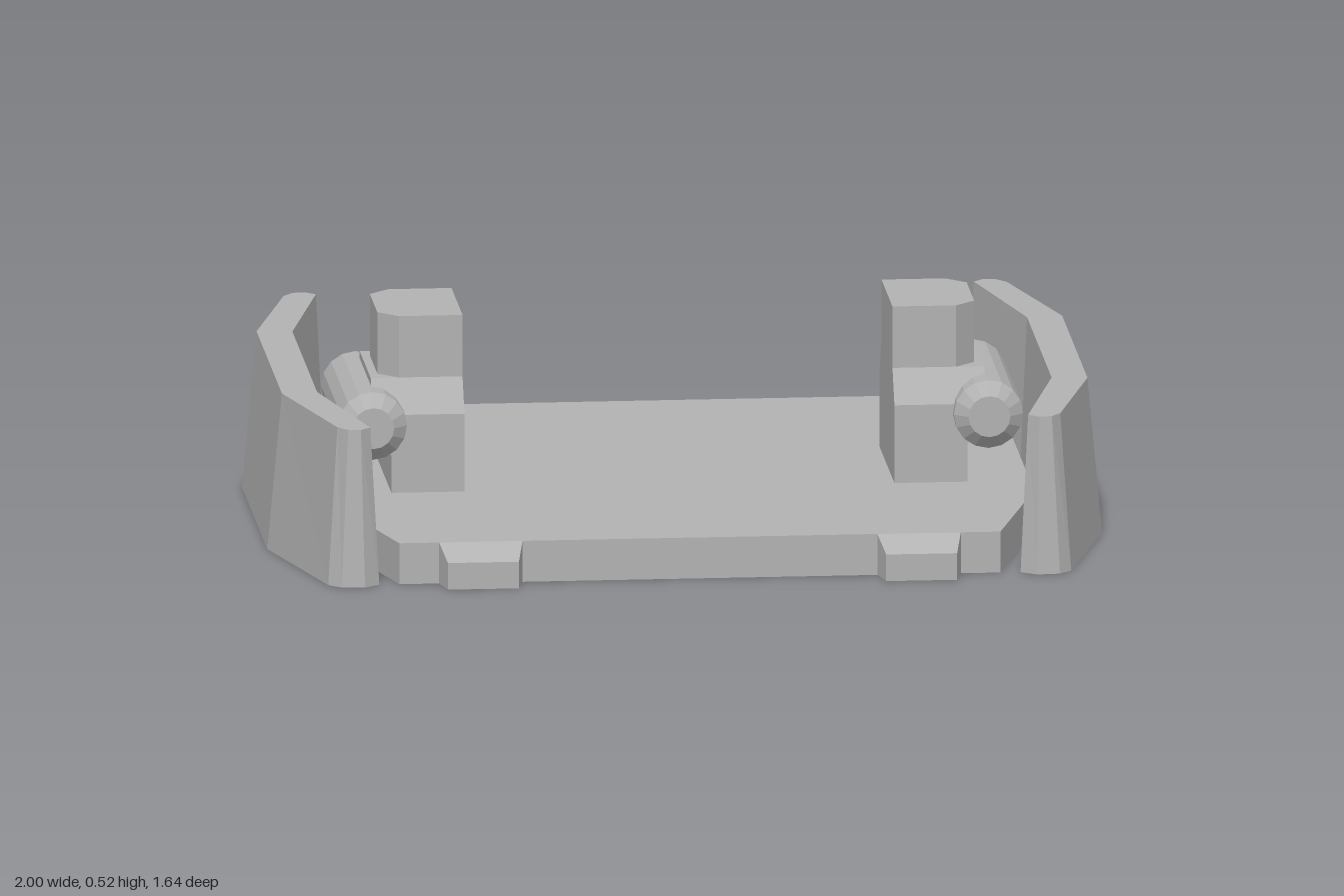
import * as THREE from 'three';

const grey = new THREE.MeshStandardMaterial({ color: 0xb2b2b2 });
grey.name = 'plain grey';

// Closed faceted solid through layers of [height, ring of [x, z]].
function loft(layers) {
  const rings = layers.map(([y, ring]) => {
    const pts = ring.map(([x, z]) => new THREE.Vector2(x, z));
    if (THREE.ShapeUtils.area(pts) < 0) pts.reverse();
    return { y, pts };
  });
  const pos = [];
  const put = (ring, i) => pos.push(ring.pts[i].x, ring.y, ring.pts[i].y);
  const n = rings[0].pts.length;
  for (let k = 0; k + 1 < rings.length; k++) {
    const lo = rings[k], hi = rings[k + 1];
    for (let i = 0; i < n; i++) {
      const j = (i + 1) % n;
      put(lo, i); put(hi, j); put(lo, j);
      put(lo, i); put(hi, i); put(hi, j);
    }
  }
  const first = rings[0], last = rings[rings.length - 1];
  for (const [a, b, c] of THREE.ShapeUtils.triangulateShape(first.pts, [])) {
    put(first, a); put(first, b); put(first, c);
  }
  for (const [a, b, c] of THREE.ShapeUtils.triangulateShape(last.pts, [])) {
    put(last, a); put(last, c); put(last, b);
  }
  const geo = new THREE.BufferGeometry();
  geo.setAttribute('position', new THREE.Float32BufferAttribute(pos, 3));
  geo.computeVertexNormals();
  return geo;
}

// Completes a half outline by mirroring it across z = 0, on side s of x.
function outline(half, s = 1) {
  const back = half.map(([x, z]) => [x, -z]).reverse();
  return [...half, ...back].map(([x, z]) => [x * s, z]);
}

const rect = (x0, x1, z0, z1) => [[x0, z0], [x1, z0], [x1, z1], [x0, z1]];

export function createModel() {
  const model = new THREE.Group();
  model.name = 'platform';
  const add = (parent, name, geo) => {
    const mesh = new THREE.Mesh(geo, grey);
    mesh.name = name;
    parent.add(mesh);
    return mesh;
  };

  // Floor plate with angled sides
  const floor = [[0.84, 0.31], [0.72, 0.75], [-0.72, 0.75], [-0.84, 0.31]];
  const floorRing = outline(floor);
  add(model, 'floorPlate', loft([[0, floorRing], [0.1, floorRing]]));

  for (const s of [1, -1]) {
    const side = s > 0 ? 'left' : 'right';

    // Bent side wall, narrowing upwards, with rounded ends
    const foot = [[1, 0.34], [0.89, 0.745], [0.86, 0.775], [0.805, 0.78], [0.768, 0.75], [0.772, 0.7], [0.862, 0.32]];
    const rim = [[0.965, 0.34], [0.866, 0.72], [0.843, 0.75], [0.813, 0.755], [0.788, 0.73], [0.795, 0.7], [0.88, 0.33]];
    add(model, side + 'Wall', loft([[0, outline(foot, s)], [0.38, outline(rim, s)]]));

    // Sloped tabs on the front and back edges
    for (const f of [1, -1]) {
      const root = rect(s * 0.425, s * 0.625, 0, -0.1);
      const tip = rect(s * 0.44, s * 0.61, 0, -0.065);
      const geo = loft([[0.74, root], [0.75, root], [0.82, tip]]).rotateX(Math.PI / 2);
      const tab = add(model, side + (f > 0 ? 'FrontTab' : 'BackTab'), geo);
      if (f < 0) {
        tab.rotation.y = Math.PI;
        tab.position.x = s * 1.05;
      }
    }

    // Bracket: bevelled body, corner-cut block and a pivot roller
    const bracket = new THREE.Group();
    bracket.name = side + 'Bracket';
    model.add(bracket);
    const box = (outer, z) => rect(s * 0.515, s * outer, -z, z);
    add(bracket, 'body', loft([[0.1, box(0.69, 0.2)], [0.19, box(0.69, 0.2)], [0.27, box(0.735, 0.2)],
      [0.29, box(0.735, 0.2)], [0.37, box(0.735, 0.148)]]));
    const cap = outline([[0.715, 0.1], [0.667, 0.148], [0.515, 0.148]], s);
    add(bracket, 'topBlock', loft([[0.37, cap], [0.52, cap]]));

    const profile = [[0, -0.255], [0.05, -0.255], [0.083, -0.225], [0.083, 0.225], [0.05, 0.255], [0, 0.255]];
    const roller = new THREE.LatheGeometry(profile.map(([r, y]) => new THREE.Vector2(r, y)), 16)
      .rotateX(Math.PI / 2).toNonIndexed();
    roller.computeVertexNormals();
    add(bracket, 'roller', roller).position.set(s * 0.738, 0.27, 0);
  }
  return model;
}
